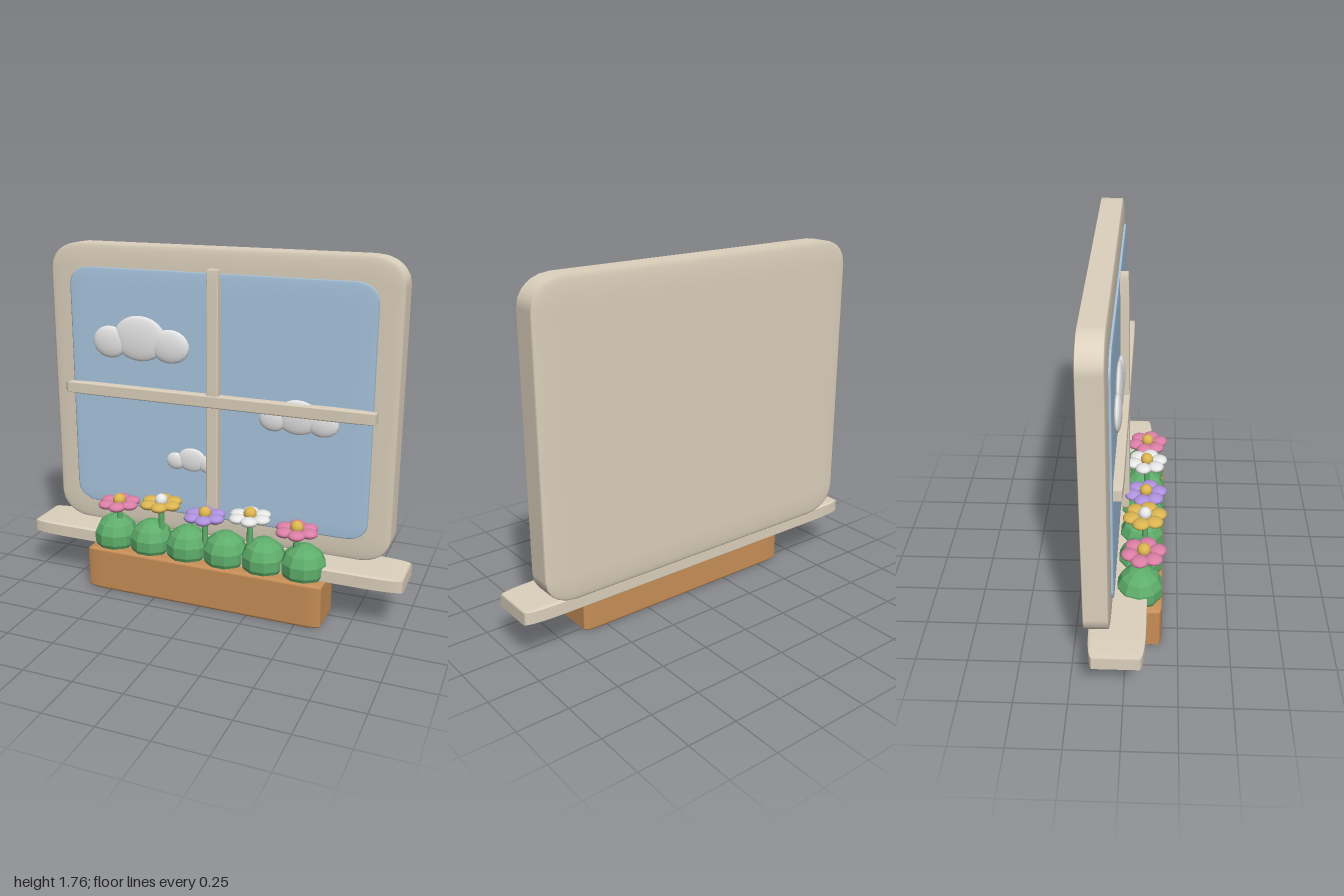
import * as THREE from 'three';
import { RoundedBoxGeometry } from 'three/addons/geometries/RoundedBoxGeometry.js';

const paint = (name, color, flatShading = false) => {
  const m = new THREE.MeshStandardMaterial({ color, flatShading });
  m.name = name;
  return m;
};

export function createModel() {
  const cream = paint('cream wood', 0xdcd1bd);
  const sky = paint('sky glass', 0xa9c6e0);
  const clay = paint('terracotta', 0xc88f58);
  const leaf = paint('leaf green', 0x5fae6b, true);
  const white = paint('white', 0xe8e8e8);
  const pink = paint('pink', 0xdb7fa6);
  const yellow = paint('yellow', 0xdcb551);
  const purple = paint('purple', 0xae92de);

  const root = new THREE.Group();
  root.name = 'windowWithFlowerBox';

  const add = (parent, name, geometry, material, x = 0, y = 0, z = 0) => {
    const mesh = new THREE.Mesh(geometry, material);
    mesh.name = name;
    mesh.position.set(x, y, z);
    parent.add(mesh);
    return mesh;
  };

  // Rounded unit cube stretched to the given limits, so long sides get longer roundings
  const slab = (name, material, [x0, x1], [y0, y1], [z0, z1], r) => {
    const g = new RoundedBoxGeometry(1, 1, 1, 3, r);
    g.scale(x1 - x0, y1 - y0, z1 - z0);
    add(root, name, g, material, (x0 + x1) / 2, (y0 + y1) / 2, (z0 + z1) / 2);
  };

  // Window, sill and planter
  slab('frame', cream, [-0.905, 0.905], [0.29, 1.765], [-0.187, -0.057], 0.09);
  slab('glass', sky, [-0.79, 0.79], [0.4, 1.65], [-0.1, -0.045], 0.07);
  slab('verticalBar', cream, [-0.031, 0.031], [0.38, 1.673], [-0.05, -0.004], 0.12);
  slab('horizontalBar', cream, [-0.815, 0.815], [0.998, 1.06], [-0.048, -0.001], 0.12);
  slab('sill', cream, [-1, 1], [0.22, 0.292], [-0.163, 0.1], 0.1);
  slab('planter', clay, [-0.63, 0.63], [0, 0.23], [-0.05, 0.172], 0.07);

  // Clouds: three flattened puffs each
  const puff = new THREE.SphereGeometry(1, 18, 12);
  const clouds = [[-0.4, 1.28, 1], [0.43, 0.97, 0.75], [-0.12, 0.69, 0.54]];
  for (const [x, y, s] of clouds) {
    const cloud = new THREE.Group();
    cloud.name = 'cloud';
    cloud.position.set(x, y, -0.035);
    for (const [px, py, rx, ry] of [[-0.165, 0, 0.095, 0.082], [0, 0.028, 0.145, 0.115], [0.165, 0, 0.105, 0.085]]) {
      add(cloud, 'cloudPuff', puff, white, px * s, py * s, 0).scale.set(rx * s, ry * s, 0.022 * Math.sqrt(s));
    }
    root.add(cloud);
  }

  // Row of faceted bushes
  const bushGeometry = new THREE.SphereGeometry(0.115, 10, 7);
  for (let i = 0; i < 6; i++) {
    add(root, 'bush', bushGeometry, leaf, -0.51 + i * 0.204, 0.275, 0.063);
  }

  // Flowers: stem, six petals and a heart
  const petal = new THREE.SphereGeometry(0.043, 14, 10);
  petal.scale(1, 0.52, 1);
  const heart = new THREE.SphereGeometry(0.033, 14, 10);
  const flowers = [
    [0.462, pink, yellow], [0.495, yellow, white], [0.462, purple, yellow],
    [0.495, white, yellow], [0.462, pink, yellow],
  ];
  flowers.forEach(([y, petalMaterial, heartMaterial], i) => {
    const flower = new THREE.Group();
    flower.name = 'flower';
    flower.position.set(-0.48 + i * 0.239, y, 0.08);
    const height = y - 0.25;
    add(flower, 'stem', new THREE.CylinderGeometry(0.015, 0.015, height, 10), leaf, 0, -height / 2, 0);
    for (let k = 0; k < 6; k++) {
      const a = (k * Math.PI) / 3 + 0.26;
      add(flower, 'petal', petal, petalMaterial, Math.cos(a) * 0.068, 0, Math.sin(a) * 0.068);
    }
    add(flower, 'flowerHeart', heart, heartMaterial, 0, 0.017, 0);
    root.add(flower);
  });

  return root;
}
